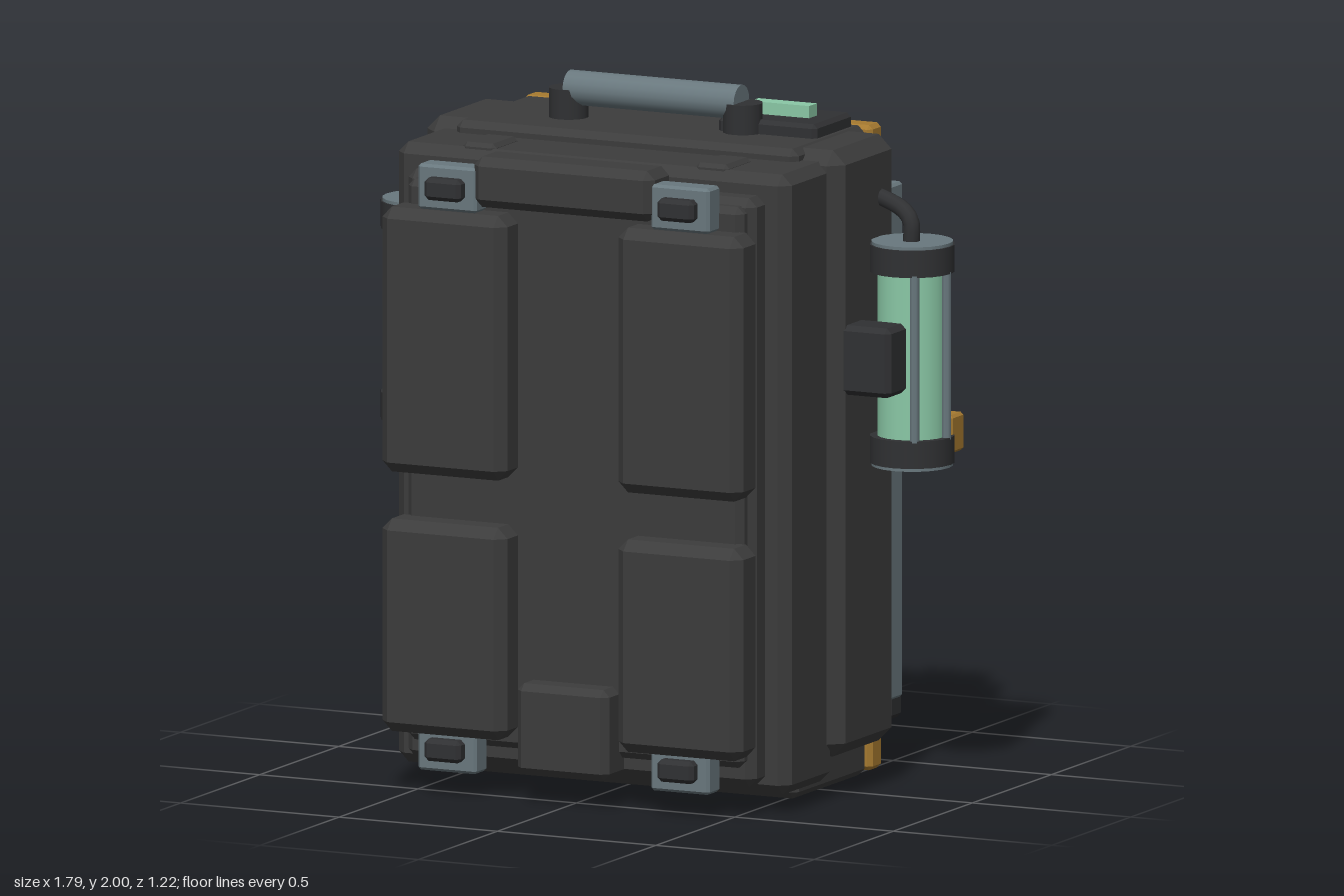
import * as THREE from 'three';
import { ConvexGeometry } from 'three/addons/geometries/ConvexGeometry.js';

const paint = (name, color) => {
  const m = new THREE.MeshStandardMaterial({ color });
  m.name = name;
  return m;
};

export function createModel() {
  const body = paint('charcoal', 0x3c3c3c);
  const dark = paint('dark rubber', 0x303133);
  const steel = paint('steel grey', 0x69787e);
  const green = paint('pale green', 0x8ac8a6);
  const orange = paint('ochre', 0xa67a30);
  const beige = paint('beige', 0xaaa793);
  const teal = paint('teal', 0x1f6a76);
  const plum = paint('plum', 0x6b4c5d);

  const model = new THREE.Group();
  model.name = 'equipmentBackpack';
  model.position.x = -0.005;

  const add = (name, geometry, material, parent = model) => {
    const mesh = new THREE.Mesh(geometry, material);
    mesh.name = name;
    parent.add(mesh);
    return mesh;
  };

  // Box given by its extents, with every edge and corner chamfered by c
  const box = (name, material, [x0, x1], [y0, y1], [z0, z1], c = 0, parent = model) => {
    const h = [(x1 - x0) / 2, (y1 - y0) / 2, (z1 - z0) / 2];
    let geometry;
    if (c > 0) {
      const points = [];
      for (const sx of [-1, 1]) for (const sy of [-1, 1]) for (const sz of [-1, 1]) {
        for (let full = 0; full < 3; full++) {
          const p = [sx, sy, sz].map((s, i) => s * (h[i] - (i === full ? 0 : c)));
          points.push(new THREE.Vector3(...p));
        }
      }
      geometry = new ConvexGeometry(points);
    } else {
      geometry = new THREE.BoxGeometry(h[0] * 2, h[1] * 2, h[2] * 2);
    }
    const mesh = add(name, geometry, material, parent);
    mesh.position.set((x0 + x1) / 2, (y0 + y1) / 2, (z0 + z1) / 2);
    return mesh;
  };

  // Cylinder between two points
  const rod = (name, material, a, b, r, sides = 12, parent = model) => {
    const p = new THREE.Vector3(...a), q = new THREE.Vector3(...b);
    const d = q.clone().sub(p);
    const mesh = add(name, new THREE.CylinderGeometry(r, r, d.length(), sides), material, parent);
    mesh.position.copy(p).add(q).multiplyScalar(0.5);
    mesh.quaternion.setFromUnitVectors(new THREE.Vector3(0, 1, 0), d.normalize());
    return mesh;
  };

  // Mirrored extents for the left (+1) and right (-1) side
  const span = (s, a, b) => (s > 0 ? [a, b] : [-b, -a]);

  // Main shell
  box('coreShell', body, [-0.54, 0.54], [0, 1.865], [-0.27, 0.185], 0.02);
  box('sideShell', body, [-0.66, 0.66], [0.12, 1.86], [-0.22, 0.15], 0.04);
  box('frontShell', body, [-0.62, 0.62], [0.05, 1.83], [0.1, 0.4], 0.03);
  box('frontPanel', body, [-0.55, 0.55], [0.08, 1.77], [0.36, 0.475], 0.025);
  box('frontSpine', body, [-0.53, 0.53], [0.14, 1.75], [0.42, 0.51], 0.02);

  // Front pads, buckles and straps
  for (const s of [-1, 1]) {
    box('upperPad', body, span(s, 0.175, 0.57), [0.92, 1.68], [0.47, 0.605], 0.03);
    box('lowerPad', body, span(s, 0.175, 0.57), [0.175, 0.785], [0.47, 0.605], 0.03);
    for (const y of [0.07, 1.68]) {
      box('buckle', steel, span(s, 0.275, 0.46), [y, y + 0.13], [0.5, 0.575], 0.008);
      box('buckleButton', dark, span(s, 0.31, 0.425), [y + 0.033, y + 0.097], [0.54, 0.61], 0.012);
    }
    box('shoulderStrap', body, span(s, 0.315, 0.42), [1.78, 1.843], [0.22, 0.375], 0.012);
  }
  box('topStrap', body, [-0.285, 0.285], [1.7, 1.845], [0.45, 0.59], 0.025);
  box('bottomPouch', body, [-0.145, 0.145], [0.085, 0.345], [0.46, 0.59], 0.02);

  // Carry handle and status plate on top
  rod('handleBar', steel, [-0.27, 1.95, -0.012], [0.27, 1.95, -0.012], 0.05, 16);
  for (const s of [-1, 1]) rod('handlePost', dark, [s * 0.275, 1.84, -0.012], [s * 0.275, 1.95, -0.012], 0.057, 14);
  box('statusPlate', dark, [0.2, 0.51], [1.85, 1.905], [-0.235, 0], 0.012);
  box('statusLight', green, [0.26, 0.445], [1.9, 1.94], [-0.14, -0.09]);

  // Side canisters
  for (const s of [-1, 1]) {
    const can = new THREE.Group();
    can.name = s > 0 ? 'leftCanister' : 'rightCanister';
    model.add(can);
    const cx = s * 0.772, cz = -0.087;
    const up = (name, mat, y0, y1, r, x = cx, z = cz, n = 20) => rod(name, mat, [x, y0, z], [x, y1, z], r, n, can);
    up('glassTube', green, 1.0, 1.52, 0.1);
    up('lowerCap', dark, 0.947, 1.025, 0.121);
    up('upperCap', dark, 1.495, 1.573, 0.121);
    up('lowerDisc', steel, 0.938, 0.95, 0.116);
    up('upperDisc', steel, 1.57, 1.582, 0.116);
    for (const a of [-1, 0, 1]) {
      const t = a * Math.PI / 3;
      up('guardRod', steel, 1.02, 1.5, 0.014, cx + s * 0.108 * Math.cos(t), cz + 0.108 * Math.sin(t), 8);
    }
    const path = new THREE.CatmullRomCurve3([
      [s * 0.772, 1.57, -0.08], [s * 0.772, 1.635, -0.08], [s * 0.745, 1.665, -0.09], [s * 0.58, 1.71, -0.145],
    ].map(p => new THREE.Vector3(...p)), false, 'centripetal');
    add('hose', new THREE.TubeGeometry(path, 14, 0.024, 10), dark, can);
    box('bracket', dark, span(s, 0.64, 0.8), [1.16, 1.36], [-0.005, 0.115], 0.015, can);
    box('valve', orange, span(s, 0.795, 0.878), [0.97, 1.08], [-0.205, -0.125], 0.008, can);
  }

  // Back rails with bolts, and corner guards
  for (const s of [-1, 1]) {
    box('rail', steel, span(s, 0.535, 0.62), [0.22, 1.7], [-0.335, -0.21], 0.008);
    for (const y of [0.335, 0.81, 1.32, 1.59]) {
      rod('railBolt', steel, [s * 0.568, y, -0.32], [s * 0.568, y, -0.365], 0.024, 8);
    }
    box('upperCorner', orange, span(s, 0.335, 0.55), [1.7, 1.862], [-0.345, -0.27], 0.012);
    box('lowerCorner', orange, span(s, 0.335, 0.55), [0.01, 0.13], [-0.345, -0.27], 0.012);
  }

  // Back panels
  box('upperBackPanel', orange, [-0.535, 0.535], [1.12, 1.81], [-0.34, -0.235], 0.025);
  box('middleBackPanel', beige, [-0.53, 0.53], [0.5, 1.155], [-0.388, -0.25], 0.03);
  box('lowerBackPanel', dark, [-0.53, 0.53], [0.15, 0.475], [-0.367, -0.25], 0.02);
  for (const [x, y] of [[0.49, 1.68], [0.44, 1.68], [-0.1, 1.19], [-0.18, 1.19]]) {
    box('wearMark', steel, [x - 0.015, x + 0.015], [y - 0.01, y + 0.01], [-0.344, -0.337]);
  }

  // Vents and bar display
  for (const x of [0.235, 0.337, 0.44]) {
    box('vent', dark, [x - 0.026, x + 0.026], [1.365, 1.625], [-0.405, -0.32], 0.01);
  }
  box('displayHousing', dark, [-0.425, 0.108], [1.33, 1.66], [-0.41, -0.32], 0.02);
  const w = 0.21, h = 0.125, k = 0.04;
  const outline = [[-w + k, -h], [w - k, -h], [w, -h + k], [w, h - k], [w - k, h], [-w + k, h], [-w, h - k], [-w, -h + k]];
  const screenShape = new THREE.Shape(outline.map(p => new THREE.Vector2(...p)));
  const screen = add('screen', new THREE.ExtrudeGeometry(screenShape, { depth: 0.035, bevelEnabled: false }), teal);
  screen.position.set(-0.155, 1.495, -0.438);
  [0.085, 0.055, 0.135, 0.1, 0.06].forEach((height, i) => {
    const x = -0.015 - i * 0.073;
    box('displayBar', green, [x - 0.016, x + 0.016], [1.43, 1.43 + height], [-0.453, -0.43]);
  });

  // Vial rack
  box('vialRack', dark, [-0.35, 0.35], [0.6, 1.04], [-0.49, -0.36], 0.02);
  for (const x of [-0.18, 0.03, 0.235]) {
    rod('vial', plum, [x - 0.038, 0.682, -0.545], [x + 0.038, 0.968, -0.53], 0.052, 14);
  }
  rod('vialClamp', green, [-0.275, 0.775, -0.592], [0.275, 0.775, -0.592], 0.014, 8);

  // Utility belt across the lower back
  box('belt', dark, [-0.53, 0.53], [0.2, 0.37], [-0.4, -0.34], 0.01);
  for (const x of [-0.285, -0.095, 0.095, 0.285]) {
    box('beltPouch', dark, [x - 0.07, x + 0.07], [0.19, 0.39], [-0.45, -0.36], 0.014);
    box('pouchTab', green, [x - 0.045, x + 0.045], [0.325, 0.365], [-0.462, -0.44]);
  }
  for (const s of [-1, 1]) {
    box('endPouch', dark, span(s, 0.37, 0.54), [0.13, 0.425], [-0.495, -0.41], 0.014);
    box('endPouchMount', dark, span(s, 0.4, 0.51), [0.2, 0.37], [-0.42, -0.36]);
    for (const y of [0.185, 0.275, 0.368]) {
      box('endPouchRib', steel, span(s, 0.395, 0.515), [y - 0.011, y + 0.011], [-0.525, -0.485]);
    }
  }
  return model;
}
